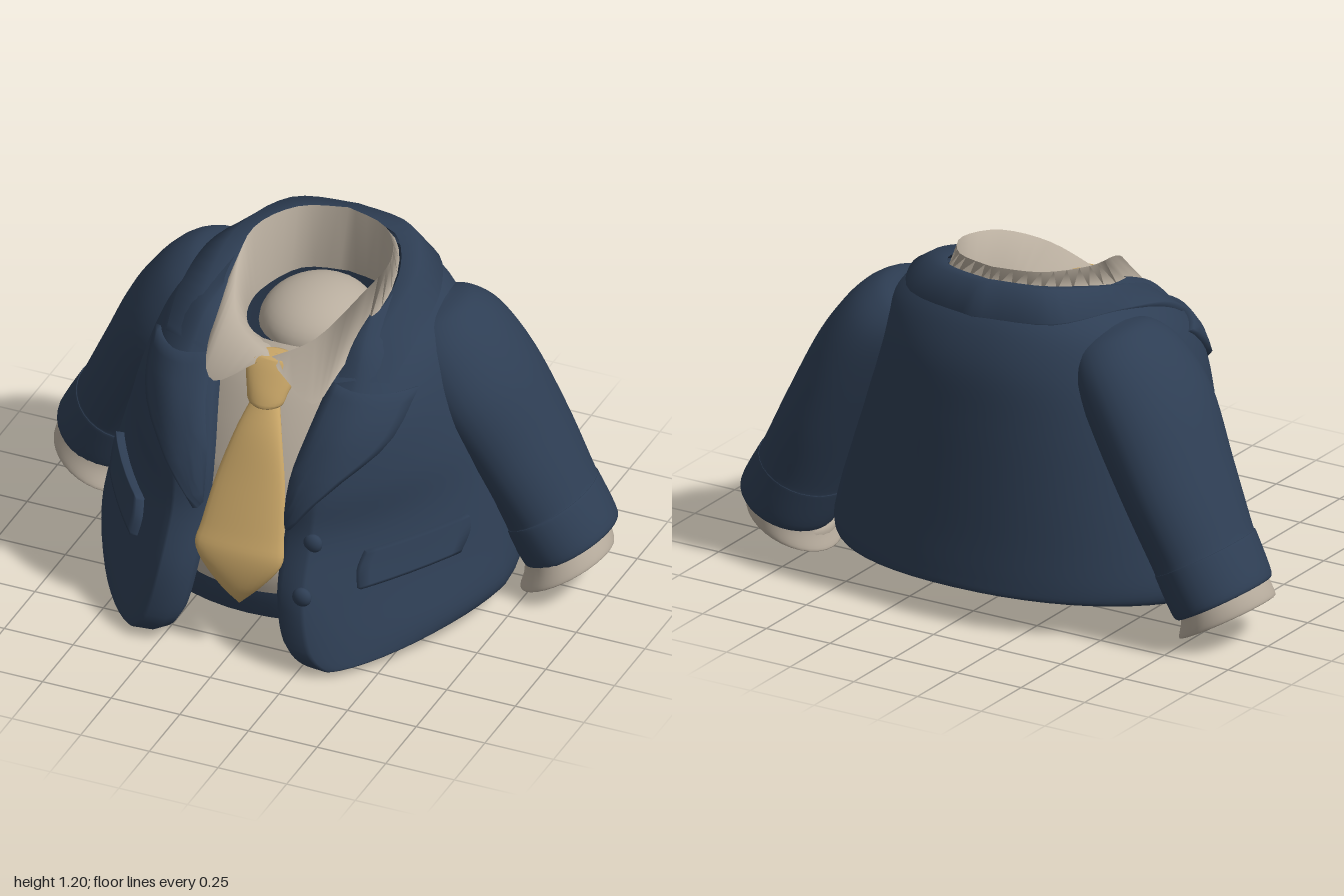
import * as THREE from 'three';

const V = (x, y, z) => new THREE.Vector3(x, y, z);
const make = (name, color) => {
  const m = new THREE.MeshStandardMaterial({ color, side: THREE.DoubleSide });
  m.name = name;
  return m;
};

// Smooth interpolation through rows of numbers
function spline(rows, n) {
  const out = [], last = rows.length - 1;
  for (let k = 0; k <= n; k++) {
    const t = (k / n) * last, i = Math.min(Math.floor(t), last - 1), f = t - i;
    const [a, b, c, d] = [i - 1, i, i + 1, i + 2].map(j => rows[Math.max(0, Math.min(last, j))]);
    out.push(b.map((p, j) => {
      const m0 = (c[j] - a[j]) / 2, m1 = (d[j] - p) / 2, f2 = f * f, f3 = f2 * f;
      return (2 * f3 - 3 * f2 + 1) * p + (f3 - 2 * f2 + f) * m0 + (3 * f2 - 2 * f3) * c[j] + (f3 - f2) * m1;
    }));
  }
  return out;
}

// Skin over rows of points
function skin(rows, closed = false) {
  const n = rows[0].length, pos = [], idx = [];
  rows.forEach(r => r.forEach(p => pos.push(p.x, p.y, p.z)));
  for (let i = 0; i < rows.length - 1; i++)
    for (let j = 0; j < (closed ? n : n - 1); j++) {
      const k = (j + 1) % n, a = i * n + j, b = i * n + k, c = a + n, d = b + n;
      idx.push(a, b, c, b, d, c);
    }
  const g = new THREE.BufferGeometry();
  g.setAttribute('position', new THREE.Float32BufferAttribute(pos, 3));
  g.setIndex(idx);
  g.computeVertexNormals();
  return g;
}

// Half curve from the front to the centre back, mirrored into a full one
function mirrored(points, n = 20) {
  const half = spline(points, n).map(p => V(...p));
  return [...half, ...half.slice(0, -1).reverse().map(p => V(-p.x, p.y, p.z))];
}

export function createModel() {
  const group = new THREE.Group();
  const navy = make('navy cloth', 0x2e3e54);
  const cream = make('cream shirt', 0xb8ad9e);
  const gold = make('gold tie', 0xcaa768);
  const add = (name, geo, mat) => {
    const m = new THREE.Mesh(geo, mat);
    m.name = name;
    group.add(m);
    return m;
  };

  // Jacket body levels: front y, back y, half width, front z, back z, half opening, centre z, roundness
  const levels = [
    [.04, .14, .68, .57, -.59, .27, -.05, 1.35],
    [.03, .13, .71, .60, -.62, .25, -.05, 1.35],
    [.10, .18, .73, .62, -.62, .19, -.05, 1.32],
    [.27, .32, .70, .59, -.61, .155, -.06, 1.22],
    [.46, .52, .65, .50, -.60, .145, -.07, 1.28],
    [.62, .72, .60, .46, -.59, .15, -.08, 1.5],
    [.80, .90, .54, .37, -.575, .18, -.10, 1.7],
    [.93, 1.03, .48, .25, -.53, .21, -.13, 1.8],
    [1.03, 1.11, .38, .15, -.47, .24, -.16, 1.9],
    [1.08, 1.15, .29, .03, -.42, .255, -.18, 2]];
  const N = 14;
  const bodyRows = spline(levels, 45).map(([yF, yB, W, F, B, O, zc, e]) => {
    const xs = O + Math.min(.1, (W - O) * .3), half = [];
    half.push([O, F - .1], [O, F - .04], [O + (xs - O) * .3, F - .008]);
    for (let i = 0; i <= N; i++) {
      const a = (i / N) * Math.PI / 2;
      half.push([xs + (W - xs) * Math.sin(a) ** (2 / e), zc + (F - zc) * Math.max(0, Math.cos(a)) ** (2 / e)]);
    }
    for (let i = 1; i <= N; i++) {
      const a = (i / N) * Math.PI / 2;
      half.push([W * Math.max(0, Math.cos(a)) ** .92, zc + (B - zc) * Math.sin(a) ** .92]);
    }
    const pts = half.map(([x, z]) => V(x, yF + (yB - yF) * (F - z) / (F - B), z));
    return [...pts, ...pts.slice(0, -1).reverse().map(p => V(-p.x, p.y, p.z))];
  });
  const body = add('jacketBody', skin(bodyRows), navy);
  body.updateMatrixWorld();

  // Cloth patch laid on the jacket front between two edge curves
  const ray = new THREE.Raycaster();
  const steps = [0, .002, .1, .2, .3, .4, .5, .6, .7, .8, .9, .998, 1];
  function patch(name, inner, outer, s, lift) {
    const A = spline(inner, 100), B = spline(outer, 100);
    let lastZ = .3;
    const rows = steps.map(t => steps.map(u => {
      const k = Math.round(t * 100), x = A[k][0] + (B[k][0] - A[k][0]) * u, y = A[k][1] + (B[k][1] - A[k][1]) * u;
      ray.set(V(s * x, y, 3), V(0, 0, -1));
      const hit = ray.intersectObject(body)[0];
      if (!hit) return V(s * x, y, lastZ);
      lastZ = hit.point.z;
      const n = hit.face.normal.clone();
      if (n.z < 0) n.negate();
      const rim = t === 0 || t === 1 || u === 0 || u === 1;
      return hit.point.addScaledVector(n, rim ? -.005 : lift);
    }));
    add(name, skin(rows), navy);
  }

  for (const s of [1, -1]) {
    const side = s > 0 ? 'left' : 'right';
    patch(side + 'Lapel', [[.225, .93], [.2, .8], [.165, .65], [.16, .5]],
      [[.465, .90], [.43, .77], [.3, .64], [.175, .48]], s, .02);
    patch(side + 'PocketFlap', [[.40, .40], [.39, .345], [.40, .285]],
      [[.62, .41], [.628, .36], [.618, .30]], s, .028);

    // Sleeve sections: centre x, y, z, half size across, half size in depth
    const tube = (rows, n) => skin(spline(rows, n).map(([x, y, z, a, b]) =>
      Array.from({ length: 32 }, (_, i) => {
        const t = (i / 32) * Math.PI * 2, c = Math.cos(t) * a;
        return V(s * (x + c * .88), y + c * .48, z + Math.sin(t) * b);
      })), true);
    add(side + 'Sleeve', tube([
      [.34, 1.0, -.24, .09, .11], [.38, .975, -.24, .135, .18], [.45, .895, -.24, .165, .24], [.55, .74, -.245, .178, .265],
      [.67, .52, -.275, .166, .245], [.77, .325, -.29, .159, .216], [.783, .30, -.29, .163, .217],
      [.85, .175, -.295, .165, .202], [.85, .175, -.29, .14, .18], [.81, .25, -.285, .13, .17]], 54), navy);
    add(side + 'Cuff', tube([
      [.81, .25, -.28, .13, .17], [.845, .16, -.275, .146, .18], [.85, .09, -.265, .17, .187],
      [.848, .097, -.265, .15, .168], [.83, .15, -.27, .125, .15], [.83, .15, -.27, .001, .001]], 30), cream);
  }

  // Jacket collar folded around the neck
  const collarTop = [[.22, .93, .25], [.262, 1.04, .07], [.272, 1.12, -.18], [.18, 1.16, -.36], [0, 1.165, -.41]];
  const collarFold = [[.29, .95, .235], [.325, 1.06, .06], [.33, 1.135, -.2], [.22, 1.17, -.41], [0, 1.17, -.465]];
  const collarRim = [[.41, .945, .19], [.43, 1.03, .02], [.41, 1.08, -.22], [.28, 1.075, -.45], [0, 1.07, -.52]];
  const collarUnder = [[.39, .93, .15], [.40, 1.0, 0], [.37, 1.05, -.2], [.26, 1.05, -.42], [0, 1.05, -.49]];
  add('jacketCollar', skin([collarTop, collarFold, collarRim, collarUnder].map(c => mirrored(c))), navy);

  // Buttons
  for (const [y, z] of [[.45, .49], [.29, .58]]) {
    const b = add('button', new THREE.SphereGeometry(.034, 16, 10), navy);
    b.scale.z = .7;
    b.position.set(.258, y, z);
  }

  // Shirt front: y, centre z, half gap hidden behind the tie
  const shirtRows = spline([[.98, .16, 0], [.88, .26, 0], [.75, .34, 0], [.62, .40, 0], [.56, .42, .06],
    [.4, .47, .09], [.3, .49, .07], [.25, .49, 0], [.2, .48, 0]], 32);
  for (const s of [1, -1])
    add('shirtFront', skin(shirtRows.map(([y, z, gap]) => Array.from({ length: 9 }, (_, i) => {
      const x = Math.max(0, gap) + (.28 - Math.max(0, gap)) * i / 8;
      return V(s * x, y, z - 1.1 * x * x);
    }))), cream);

  // Shirt collar: inner band, ridge and folded leaf
  const band = [[0, .93, .115], [.14, .94, .075], [.212, .94, -.03], [.225, .94, -.18], [.15, .95, -.34], [0, .95, -.385]];
  const ridge = [[.004, .985, .255], [.14, 1.06, .205], [.222, 1.145, .03], [.25, 1.182, -.17], [.16, 1.195, -.33], [0, 1.2, -.385]];
  const leaf = [[.045, .965, .295], [.18, .88, .32], [.237, .965, .235], [.275, 1.1, -.12], [.18, 1.14, -.36], [0, 1.15, -.405]];
  add('shirtCollar', skin([band, ridge, leaf].map(c => mirrored(c))), cream);

  // Domed floor inside the neck
  const neck = add('neckInside', new THREE.SphereGeometry(1, 28, 10, 0, Math.PI * 2, 0, Math.PI / 2), cream);
  neck.scale.set(.195, .13, .215);
  neck.position.set(.005, .92, -.125);

  // Tie sections: y, half width, centre z
  const ribbon = (rows, n, bulge) => skin(spline(rows, n).map(([y, w, z]) =>
    Array.from({ length: 24 }, (_, i) => {
      const t = (i / 24) * Math.PI * 2;
      return V(.01 + w * Math.cos(t), y, z + bulge * Math.sin(t) * Math.min(1, w / .05));
    })), true);
  add('tieBlade', ribbon([[.85, .05, .315], [.75, .085, .375], [.6, .125, .44], [.45, .15, .505],
    [.37, .158, .54], [.28, .095, .55], [.18, .003, .535]], 28, .025), gold);
  add('tieKnot', ribbon([[.985, .003, .23], [.98, .08, .235], [.95, .095, .26], [.89, .075, .30],
    [.845, .058, .32], [.83, .003, .32]], 20, .04), gold);

  // Waistband and the lining turned up behind it
  const ring = (rx, front, back, yF, yB) => Array.from({ length: 48 }, (_, i) => {
    const t = (i / 48) * Math.PI * 2, c = Math.cos(t);
    return V(rx * Math.sin(t), yF + (yB - yF) * (1 - c) / 2, (front + back) / 2 + c * (front - back) / 2);
  });
  add('waistband', skin([ring(.58, .47, -.54, .22, .3), ring(.6, .47, -.55, .15, .2),
    ring(.58, .44, -.52, .08, .16)], true), navy);
  add('lining', skin([ring(.58, .44, -.52, .08, .16), ring(.46, .40, -.48, .14, .18),
    ring(.32, .36, -.43, .2, .2)], true), navy);
  const core = add('innerPad', new THREE.ConeGeometry(.18, .12, 6).toNonIndexed(), navy);
  core.geometry.computeVertexNormals();
  core.rotation.x = Math.PI;
  core.position.set(.005, .24, -.125);

  return group;
}
